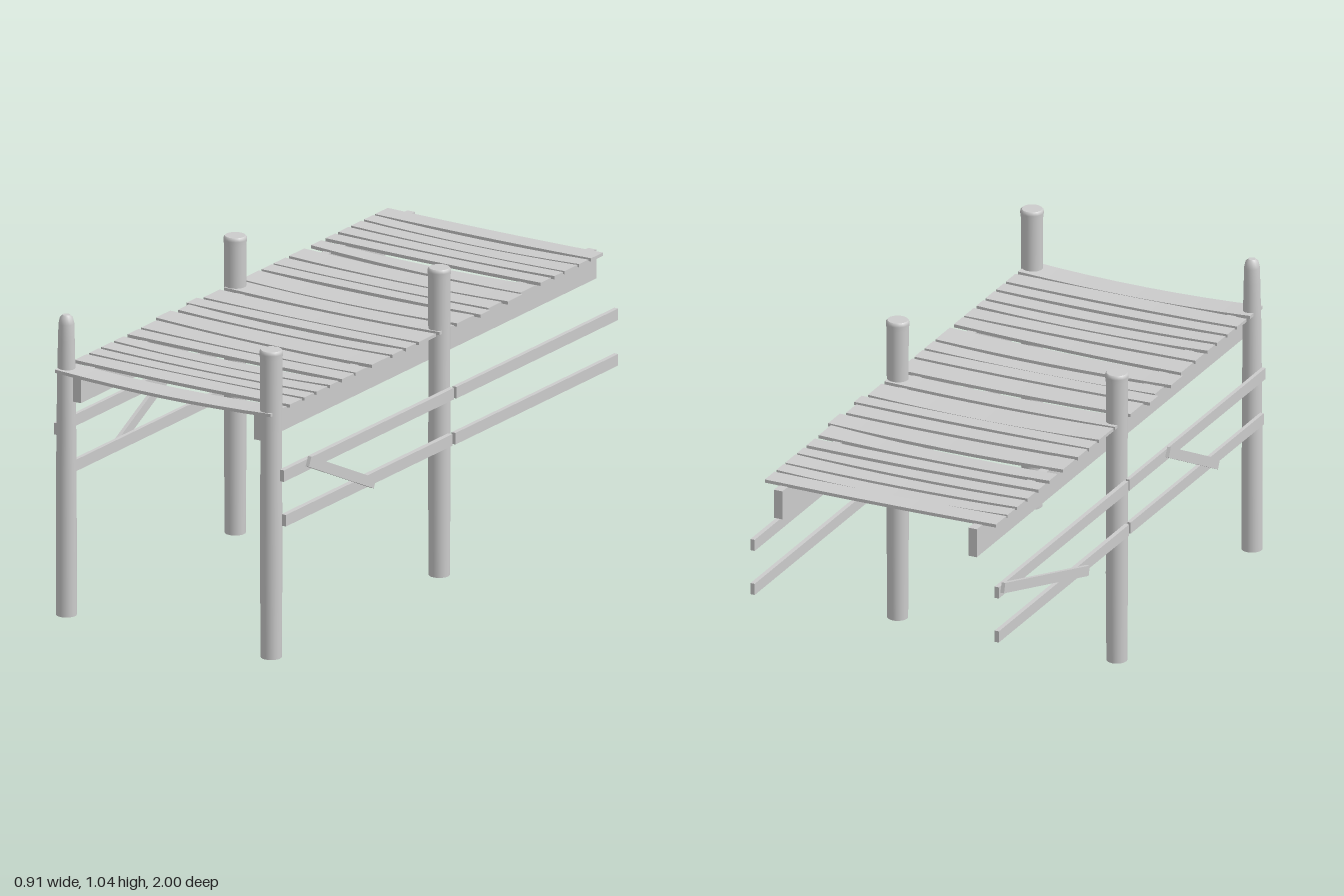
import * as THREE from 'three';

const material = new THREE.MeshStandardMaterial({ color: 0xcccccc, flatShading: true });
const smooth = new THREE.MeshStandardMaterial({ color: 0xcccccc });

// Deck boards: back edge and front edge (z), each given at the -x end then the +x end
const BOARDS = [
  [-0.955, -0.955, -0.88, -0.885], [-0.87, -0.87, -0.815, -0.815], [-0.80, -0.805, -0.74, -0.73],
  [-0.725, -0.72, -0.665, -0.67], [-0.645, -0.65, -0.59, -0.59], [-0.565, -0.56, -0.505, -0.47],
  [-0.465, -0.46, -0.375, -0.375], [-0.355, -0.36, -0.285, -0.285], [-0.275, -0.27, -0.215, -0.215],
  [-0.20, -0.20, -0.095, -0.10], [-0.085, -0.08, 0.005, 0.005], [0.03, 0.025, 0.125, 0.125],
  [0.14, 0.14, 0.20, 0.20], [0.21, 0.215, 0.275, 0.28], [0.295, 0.295, 0.38, 0.40],
  [0.40, 0.43, 0.49, 0.495], [0.505, 0.505, 0.57, 0.575], [0.595, 0.595, 0.65, 0.645],
  [0.665, 0.66, 0.725, 0.725], [0.74, 0.74, 0.795, 0.795], [0.81, 0.81, 0.88, 0.88],
  [0.905, 0.90, 0.997, 0.995],
];

function add(parent, name, geometry, mat = material) {
  const mesh = new THREE.Mesh(geometry, mat);
  mesh.name = name;
  parent.add(mesh);
  return mesh;
}

// Box spanning two corners
function beam(parent, name, x0, x1, y0, y1, z0, z1) {
  add(parent, name, new THREE.BoxGeometry(x1 - x0, y1 - y0, z1 - z0))
    .position.set((x0 + x1) / 2, (y0 + y1) / 2, (z0 + z1) / 2);
}

// Sagging board with slightly crooked edges
function board(parent, i) {
  const [backL, backR, frontL, frontR] = BOARDS[i];
  const x0 = i === 12 || i === 14 ? -0.427 : -0.411;
  const x1 = i === 6 || i === 8 ? 0.429 : 0.414;
  const sag = 0.003 + 0.002 * ((i * 7) % 4) + (i === 21 ? 0.004 : 0);
  const bow = 0.003 * Math.sin(i * 2.3);
  const g = new THREE.BoxGeometry(1, 0.011, 1, 8, 1, 1);
  const p = g.attributes.position;
  for (let k = 0; k < p.count; k++) {
    const t = p.getX(k) + 0.5;
    const arch = 4 * t * (1 - t);
    const z = p.getZ(k) < 0
      ? THREE.MathUtils.lerp(backL, backR, t) - bow * arch
      : THREE.MathUtils.lerp(frontL, frontR, t) + bow * arch;
    p.setXYZ(k, THREE.MathUtils.lerp(x0, x1, t), p.getY(k) + 0.831 - sag * arch, z);
  }
  g.computeVertexNormals();
  add(parent, 'deckBoard', g);
}

// Round post: smooth shaft profile and a bevelled cap
function post(parent, name, x, z, profile) {
  const group = new THREE.Group();
  group.name = name;
  group.position.set(x, 0, z);
  const points = profile.map(([r, y]) => new THREE.Vector2(r, y));
  const [topR, topY] = profile[profile.length - 1];
  add(group, 'shaft', new THREE.LatheGeometry(points, 20), smooth);
  const top = add(group, 'postTop', new THREE.CircleGeometry(topR, 20));
  top.rotation.x = -Math.PI / 2;
  top.position.y = topY;
  const foot = add(group, 'postFoot', new THREE.CircleGeometry(profile[0][0], 20));
  foot.rotation.x = Math.PI / 2;
  parent.add(group);
}

// Flat diagonal brace between two points in the side plane
function brace(parent, x, zA, yA, zB, yB) {
  const dz = zB - zA, dy = yB - yA;
  const mesh = add(parent, 'diagonalBrace', new THREE.BoxGeometry(0.013, 0.034, Math.hypot(dz, dy)));
  mesh.position.set(x, (yA + yB) / 2, (zA + zB) / 2);
  mesh.rotation.x = -Math.atan2(dy, dz);
}

export function createModel() {
  const model = new THREE.Group();
  model.name = 'boardwalk';

  // Deck
  const deck = new THREE.Group();
  deck.name = 'deck';
  BOARDS.forEach((_, i) => board(deck, i));
  model.add(deck);

  // Posts: three plain ones and a worn, tapering one at the front
  const plain = (h) => [[0.034, 0], [0.036, 0.3], [0.035, 0.7], [0.036, h - 0.03],
    [0.0385, h - 0.012], [0.037, h - 0.004], [0.033, h]];
  const worn = [[0.034, 0], [0.033, 0.5], [0.030, 0.8], [0.027, 0.93], [0.0255, 0.985],
    [0.021, 1.005], [0.012, 1.014]];
  post(model, 'frontLeftPost', 0.391, 0.955, plain(1.04));
  post(model, 'middleLeftPost', 0.388, -0.035, plain(1.04));
  post(model, 'frontRightPost', -0.394, 0.955, worn);
  post(model, 'middleRightPost', -0.394, -0.035, plain(1.005));

  // Stringers and side rails, in two lengths meeting at the middle posts
  for (const s of [-1, 1]) {
    const span = (a, b) => (s > 0 ? [a, b] : [-b, -a]);
    beam(model, 'stringer', ...span(0.332, 0.362), 0.728, 0.826, -0.032, 0.965);
    beam(model, 'stringer', ...span(0.332, 0.362), 0.728, 0.826, -0.995, -0.034);
    const inner = s > 0 ? 0.424 : 0.428;
    beam(model, 'upperRail', ...span(inner, 0.441), 0.601, 0.64, -0.04, 0.957);
    beam(model, 'lowerRail', ...span(inner, 0.441), 0.447, 0.486, -0.03, 0.945);
    beam(model, 'upperRail', ...span(0.428, 0.443), 0.601, 0.64, -1, -0.052);
    beam(model, 'lowerRail', ...span(0.428, 0.443), 0.447, 0.486, -1, -0.046);
  }

  // Diagonal braces nailed outside the rails
  brace(model, 0.449, 0.825, 0.635, 0.445, 0.456);
  brace(model, -0.45, 0.225, 0.634, 0.585, 0.452);
  brace(model, -0.45, -0.985, 0.634, -0.365, 0.452);

  return model;
}
